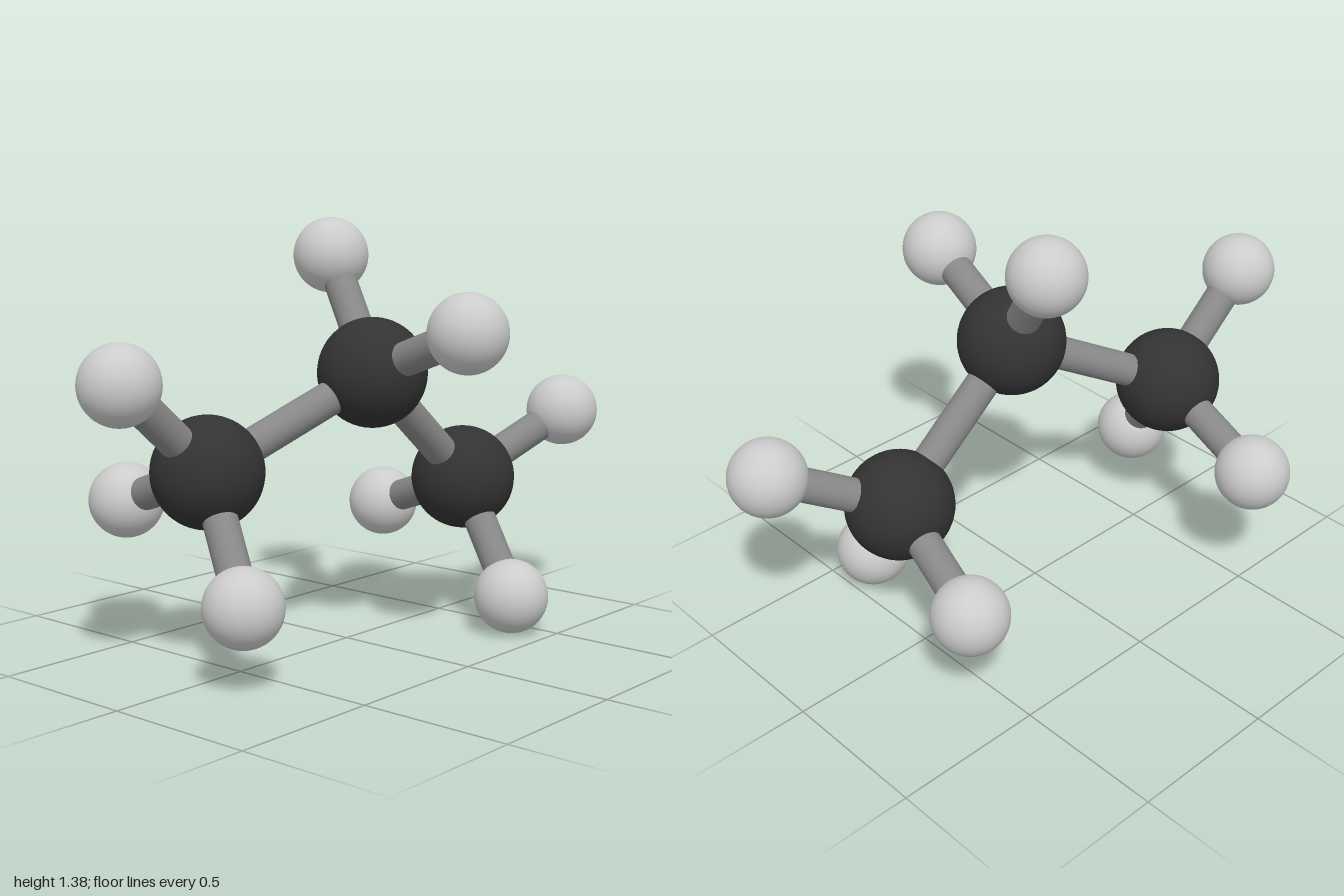
import * as THREE from 'three';

const CARBON_RADIUS = 0.177;
const HYDROGEN_RADIUS = 0.124;
const BOND_RADIUS = 0.055;

// Each carbon with the hydrogens attached to it
const chain = [
  { at: [-0.528, 0.616, -0.105], hydrogens: [[-0.878, 0.915, -0.1], [-0.643, 0.258, 0.157], [-0.478, 0.47, -0.536]] },
  { at: [0.002, 0.894, 0.107], hydrogens: [[0.099, 1.259, -0.154], [-0.067, 1.046, 0.535]] },
  { at: [0.496, 0.491, 0.103], hydrogens: [[0.874, 0.7, 0.257], [0.414, 0.126, 0.37], [0.58, 0.341, -0.323]] },
];

export function createModel() {
  const model = new THREE.Group();
  model.name = 'propaneMolecule';

  const carbonMaterial = new THREE.MeshStandardMaterial({ color: 0x333333 });
  const hydrogenMaterial = new THREE.MeshStandardMaterial({ color: 0xcccccc });
  const bondMaterial = new THREE.MeshStandardMaterial({ color: 0x888888 });
  const carbonGeometry = new THREE.SphereGeometry(CARBON_RADIUS, 48, 32);
  const hydrogenGeometry = new THREE.SphereGeometry(HYDROGEN_RADIUS, 48, 32);

  function addAtom(name, geometry, material, position) {
    const atom = new THREE.Mesh(geometry, material);
    atom.name = name;
    atom.position.copy(position);
    model.add(atom);
  }

  // Cylinder running between two atom centres
  function addBond(name, a, b) {
    const span = b.clone().sub(a);
    const geometry = new THREE.CylinderGeometry(BOND_RADIUS, BOND_RADIUS, span.length(), 32);
    const bond = new THREE.Mesh(geometry, bondMaterial);
    bond.name = name;
    bond.position.copy(a).lerp(b, 0.5);
    bond.quaternion.setFromUnitVectors(new THREE.Vector3(0, 1, 0), span.normalize());
    model.add(bond);
  }

  let previous = null;
  let hydrogenCount = 0;
  chain.forEach(({ at, hydrogens }, i) => {
    const carbon = new THREE.Vector3(...at);
    addAtom(`carbon${i + 1}`, carbonGeometry, carbonMaterial, carbon);
    if (previous) addBond(`carbonBond${i}`, previous, carbon);
    previous = carbon;

    for (const h of hydrogens) {
      const hydrogen = new THREE.Vector3(...h);
      hydrogenCount++;
      addAtom(`hydrogen${hydrogenCount}`, hydrogenGeometry, hydrogenMaterial, hydrogen);
      addBond(`hydrogenBond${hydrogenCount}`, carbon, hydrogen);
    }
  });

  return model;
}
